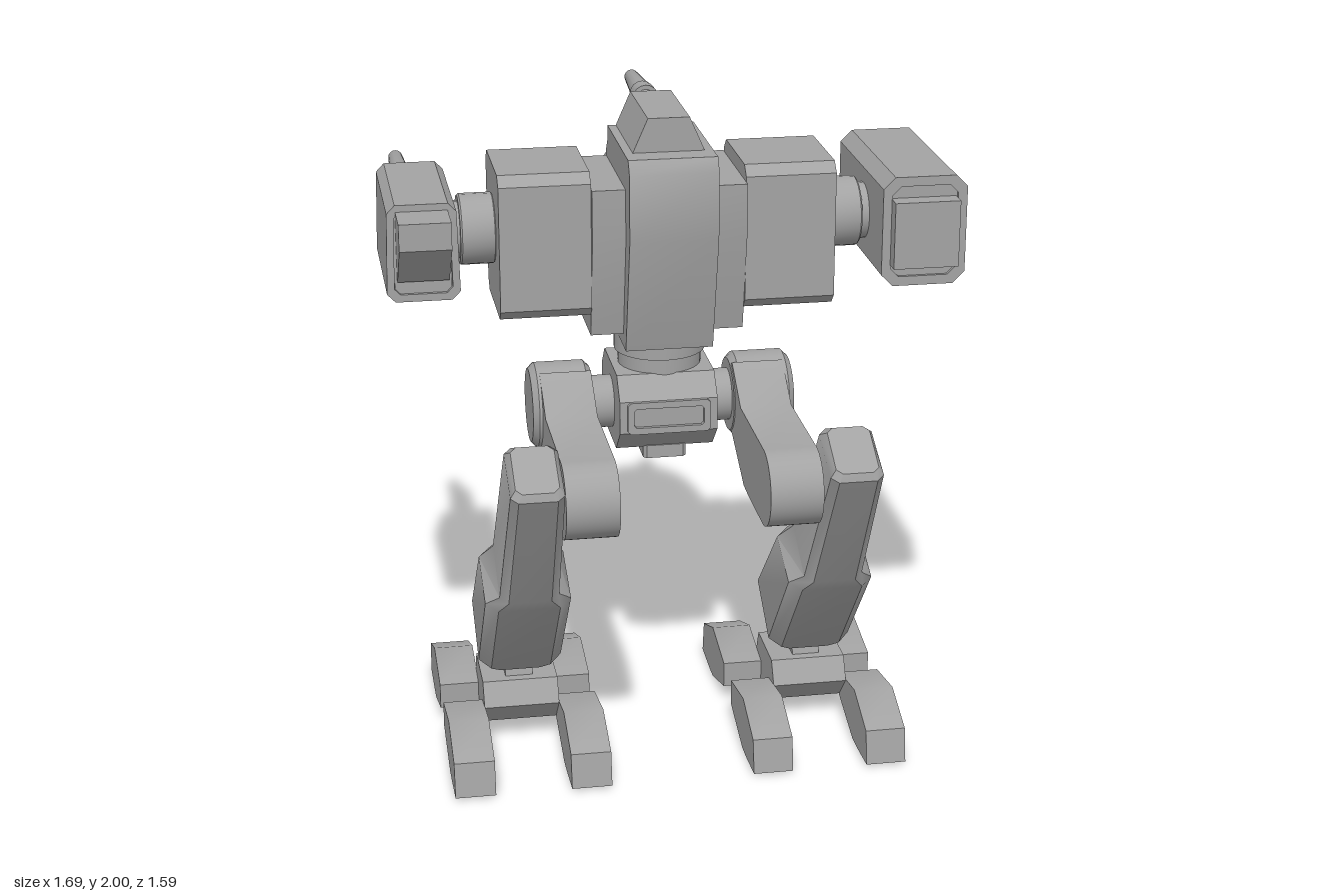
import * as THREE from 'three';
import { toCreasedNormals } from 'three/addons/utils/BufferGeometryUtils.js';

const CX = -0.028; // mirror plane of the body
const armour = new THREE.MeshStandardMaterial({ color: 0xa3a3a3 });
armour.name = 'grey armour';

export function createModel() {
  const model = new THREE.Group();
  model.name = 'walker';

  const add = (name, geo, x = 0, y = 0, z = 0, parent = model) => {
    const mesh = new THREE.Mesh(toCreasedNormals(geo, 0.6), armour);
    mesh.name = name;
    mesh.position.set(x, y, z);
    parent.add(mesh);
    return mesh;
  };
  const box = (w, h, d) => new THREE.BoxGeometry(w, h, d);
  const vec = (pts) => pts.map(([a, b]) => new THREE.Vector2(a, b));

  // Profile of [z, y] points extruded along x, centred
  const side = (pts, width) => {
    const shape = pts instanceof THREE.Shape ? pts : new THREE.Shape(vec(pts));
    const geo = new THREE.ExtrudeGeometry(shape, { depth: width, bevelEnabled: false, curveSegments: 14 });
    return geo.translate(0, 0, -width / 2).rotateY(-Math.PI / 2);
  };
  // Narrow a geometry in x between two heights
  const taper = (geo, y0, y1, scale) => {
    const p = geo.attributes.position;
    for (let i = 0; i < p.count; i++) {
      const t = THREE.MathUtils.clamp((p.getY(i) - y0) / (y1 - y0), 0, 1);
      p.setX(i, p.getX(i) * (1 + (scale - 1) * t));
    }
    return geo;
  };
  const octagon = (w, h, c) => [
    [-w + c, -h], [w - c, -h], [w, -h + c], [w, h - c],
    [w - c, h], [-w + c, h], [-w, h - c], [-w, -h + c]];
  // Chamfered tube along z, centred
  const tube = (w, h, d, c, wall) => {
    const shape = new THREE.Shape(vec(octagon(w / 2, h / 2, c)));
    shape.holes.push(new THREE.Path(vec(octagon(w / 2 - wall, h / 2 - wall, c * 0.7))));
    return new THREE.ExtrudeGeometry(shape, { depth: d, bevelEnabled: false }).translate(0, 0, -d / 2);
  };
  // Drum along x with chamfered rims
  const drum = (r, w, c = 0.012) => new THREE.LatheGeometry(
    vec([[0, -w / 2], [r - c, -w / 2], [r, -w / 2 + c], [r, w / 2 - c], [r - c, w / 2], [0, w / 2]]), 24)
    .rotateZ(Math.PI / 2);
  // Tapered barrel pointing to -z
  const gun = (name, x, y, z, length, stub, stubR) => add(name, new THREE.LatheGeometry(vec([
    [0, 0], [stubR, 0], [stubR, stub], [0.04, stub], [0.037, stub + 0.07], [0.034, stub + 0.07],
    [0.022, length - 0.025], [0.012, length], [0, length]]), 16).rotateX(-Math.PI / 2), x, y, z);

  // Loft of chamfered sections; each is [a, b, half width], a and b being [z, y]
  const loft = (sections) => {
    const pos = [], idx = [];
    for (const [a, b, w] of sections) {
      const len = Math.hypot(b[0] - a[0], b[1] - a[1]);
      for (const [u, v] of octagon(w, len / 2, Math.min(w, len) * 0.28)) {
        const t = v / len + 0.5;
        pos.push(u, a[1] + (b[1] - a[1]) * t, a[0] + (b[0] - a[0]) * t);
      }
    }
    const last = (sections.length - 1) * 8;
    for (let s = 0; s < last; s += 8) for (let j = 0; j < 8; j++) {
      const k = (j + 1) % 8;
      idx.push(s + j, s + k, s + 8 + k, s + j, s + 8 + k, s + 8 + j);
    }
    for (let j = 1; j < 7; j++) idx.push(0, j + 1, j, last, last + j, last + j + 1);
    const geo = new THREE.BufferGeometry();
    geo.setAttribute('position', new THREE.Float32BufferAttribute(pos, 3));
    geo.setIndex(idx);
    return geo.toNonIndexed();
  };

  // Torso
  add('torsoSpine', side([[0.34, 1.9], [0.365, 1.86], [0.365, 1.66], [0.28, 1.305], [-0.06, 1.305],
    [-0.1, 1.45], [-0.1, 1.81], [-0.06, 1.86], [-0.06, 1.9]], 0.26), CX);
  add('torsoHull', side([[0.29, 1.8], [0.29, 1.64], [0.235, 1.345], [-0.06, 1.345], [-0.09, 1.42], [-0.09, 1.8]], 0.455), CX);
  add('roofTurret', taper(side([[0.265, 1.9], [0.265, 2], [-0.06, 2], [-0.06, 1.9]], 0.21), 1.9, 2, 0.58), CX);
  gun('roofGun', CX, 1.955, -0.06, 0.395, 0.09, 0.027);

  // Cockpit: two flattened half shells around a smaller core
  const nose = [[0, -0.26], [1, -0.26]];
  for (let i = 0; i <= 14; i++) {
    const t = (i / 14) * Math.PI / 2;
    nose.push([i === 14 ? 0 : Math.cos(t) ** 0.9, 0.395 * Math.sin(t)]);
  }
  const pod = (w, up, down) => {
    const geo = new THREE.LatheGeometry(vec(nose), 36, Math.PI / 2).rotateX(-Math.PI / 2);
    const p = geo.attributes.position;
    for (let i = 0; i < p.count; i++) {
      const y = p.getY(i);
      p.setXYZ(i, p.getX(i) * w, y * (y > 0 ? up : down), p.getZ(i));
    }
    return geo;
  };
  add('cockpitUpperShell', pod(0.225, 0.195, 0), CX, 1.508, -0.33);
  add('cockpitLowerShell', pod(0.225, 0, 0.162), CX, 1.467, -0.33);
  add('cockpitCore', pod(0.212, 0.15, 0.12).scale(1, 1, 0.96), CX, 1.487, -0.33);
  add('canopy', taper(side([[-0.07, 1.64], [-0.07, 1.815], [-0.2, 1.815], [-0.27, 1.785], [-0.345, 1.69],
    [-0.345, 1.64]], 0.255), 1.69, 1.815, 0.6), CX);
  add('chinMount', side([[-0.04, 1.32], [-0.41, 1.32], [-0.41, 1.2], [-0.17, 1.2], [-0.06, 1.28]], 0.19), CX);
  gun('chinGun', CX, 1.255, -0.41, 0.38, 0.03, 0.027);

  // Neck and pelvis
  add('neckRing', new THREE.CylinderGeometry(0.137, 0.137, 0.06, 32), CX, 1.28, 0.09);
  add('neck', new THREE.CylinderGeometry(0.125, 0.125, 0.1, 32), CX, 1.235, 0.09);
  add('pelvis', side([[0.21, 1.205], [0.27, 1.14], [0.27, 1.04], [0.19, 0.965], [-0.02, 0.965],
    [-0.1, 1.04], [-0.1, 1.14], [-0.04, 1.205]], 0.295), CX);
  add('pelvisFrame', tube(0.25, 0.1, 0.02, 0.01, 0.02), CX, 1.09, 0.272);
  add('pelvisVent', tube(0.13, 0.2, 0.04, 0.01, 0.03).rotateX(Math.PI / 2), CX, 0.95, 0.1);
  add('ventBar', box(0.1, 0.02, 0.03), CX, 0.95, 0.1);

  // Leg shapes shared by both sides
  const thigh = new THREE.Shape();
  thigh.moveTo(0.16, 0.97);
  thigh.lineTo(0.34, 0.88);
  thigh.lineTo(0.42, 0.875);
  thigh.lineTo(0.62, 0.875);
  thigh.absarc(0.62, 0.99, 0.115, -Math.PI / 2, Math.PI / 2, false);
  thigh.lineTo(0.28, 1.105);
  thigh.lineTo(0.14, 1.2);
  thigh.lineTo(0.06, 1.15);
  thigh.lineTo(0.06, 1.0);
  const shin = [
    [[0.215, 0.262], [0.0, 0.375], 0.085],
    [[0.235, 0.28], [0.0, 0.437], 0.127],
    [[0.51, 0.6], [0.275, 0.705], 0.127],
    [[0.535, 0.635], [0.33, 0.755], 0.088],
    [[0.795, 1.06], [0.6, 1.15], 0.077],
    [[0.79, 1.085], [0.64, 1.167], 0.062]];
  const toe = [[0.06, 0.06], [0.06, 0.14], [0.255, 0.175], [0.415, 0.115], [0.435, 0.01], [0.31, 0.002], [0.25, 0.002]];

  for (const s of [-1, 1]) {
    const at = (d) => CX + s * d;
    // Leg
    add('hipAxle', drum(0.08, 0.12), at(0.185), 1.08, 0.085);
    add('hipDrum', drum(0.13, 0.185, 0.018), at(0.305), 1.08, 0.085);
    add('thigh', side(thigh, 0.155), at(0.293));
    add('kneePin', drum(0.06, 0.1), at(0.4), 1.0, 0.62);
    add('shin', loft(shin), at(0.455));
    // Foot with four toes
    add('ankle', side([[0.14, 0.36], [0.18, 0.2], [0.03, 0.2], [0.06, 0.36]], 0.085), at(0.455));
    add('footBlock', side([[0.205, 0.22], [0.245, 0.15], [0.165, 0.065], [0.035, 0.065], [-0.03, 0.15], [0, 0.22]], 0.232), at(0.455));
    for (const dx of [-0.176, 0.176]) for (const dir of [-1, 1]) {
      add('toe', side(toe.map(([z, y]) => [0.105 + dir * z, y]), 0.122), at(0.455 + dx));
    }
    // Shoulder with launcher panel
    add('shoulder', side(octagon(0.172, 0.217, 0.03).map(([z, y]) => [z + 0.097, y + 1.628]), 0.268), at(0.361));
    add('launcherPanel', side([[-0.07, 1.8], [-0.13, 1.78], [-0.145, 1.57], [-0.07, 1.55]], 0.19), at(0.361));
    add('launcherFrame', tube(0.14, 0.15, 0.025, 0.01, 0.018).rotateX(-0.07), at(0.361), 1.675, -0.14);
    add('armAxle', drum(0.105, 0.105, 0.005), at(0.545), 1.645, 0.085);
    add('armCollar', drum(0.085, 0.06, 0.005), at(0.61), 1.645, 0.085);
  }

  // Left arm: large open launcher
  add('leftArmPod', tube(0.252, 0.33, 0.55, 0.035, 0.028), 0.72, 1.645, 0.055);
  add('leftArmCore', box(0.2, 0.28, 0.5), 0.72, 1.645, 0.07);
  add('leftArmBack', box(0.195, 0.2, 0.06), 0.717, 1.645, 0.345);
  // Right arm: twin gun pod
  add('rightArmPod', taper(tube(0.214, 0.29, 0.456, 0.025, 0.022), -0.145, 0.145, 0.93), -0.742, 1.63, 0.028);
  add('rightArmCore', box(0.165, 0.25, 0.42), -0.742, 1.63, 0.035);
  add('rightArmBack', side([[0.24, 1.755], [0.383, 1.755], [0.383, 1.675], [0.255, 1.545], [0.24, 1.545]], 0.15), -0.742);
  gun('upperArmGun', -0.762, 1.7, -0.16, 0.405, 0.03, 0.04);
  gun('lowerArmGun', -0.715, 1.59, -0.16, 0.405, 0.03, 0.04);

  // Right shoulder gun
  add('shoulderGunMount', side(octagon(0.07, 0.07, 0.015).map(([z, y]) => [z - 0.13, y + 1.495]), 0.2), -0.392);
  gun('shoulderGun', -0.392, 1.5, -0.2, 0.385, 0.01, 0.038);

  // Left sensor ball with small twin barrel
  add('sensorBall', new THREE.SphereGeometry(0.113, 28, 18), 0.22, 1.487, -0.245);
  add('sensorBracket', box(0.13, 0.13, 0.16), 0.26, 1.487, -0.13);
  add('sensorSlot', box(0.05, 0.035, 0.06), 0.27, 1.487, -0.325);
  for (const dy of [-0.009, 0.009]) {
    add('sensorBarrel', new THREE.CylinderGeometry(0.012, 0.012, 0.08, 10).rotateX(Math.PI / 2), 0.272, 1.487 + dy, -0.345);
  }
  return model;
}
